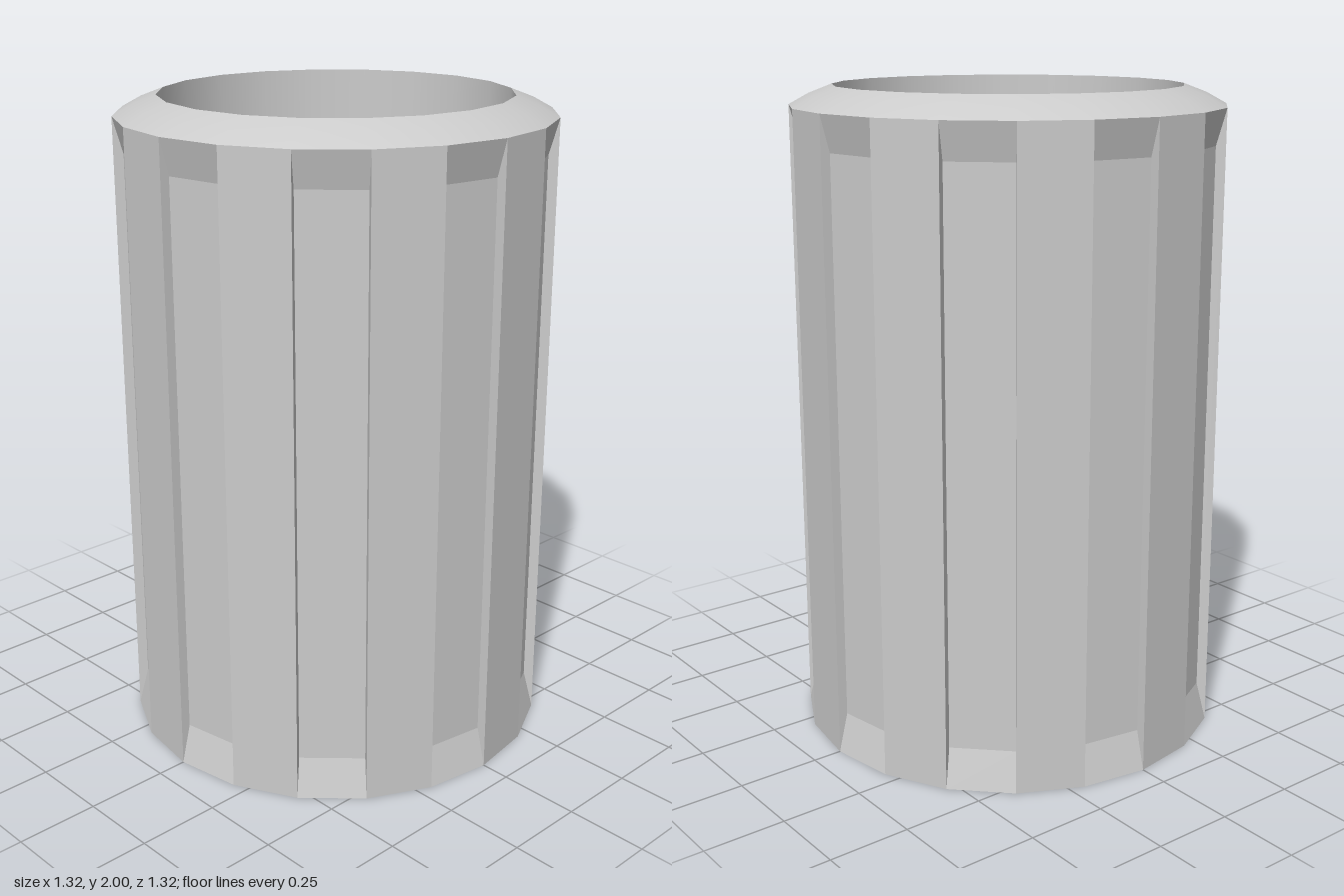
import * as THREE from 'three';

const SIDES = 20;
const OUTER = 0.66, INNER = 0.53, GROOVE = 0.63;
const SHOULDER = 1.94, TOP = 2, FLOOR = 0.13;

function add(group, name, geometry, flatShading = false) {
  const material = new THREE.MeshStandardMaterial({ color: 0xcccccc, flatShading });
  const mesh = new THREE.Mesh(geometry, material);
  mesh.name = name;
  group.add(mesh);
  return mesh;
}

// Faceted outer wall: every other side is a shallow groove with sloped ends
function outerWall() {
  const positions = [];
  const quad = (a, b, c, d) => {
    for (const p of [a, b, c, a, c, d]) positions.push(...p);
  };
  const step = (Math.PI * 2) / SIDES;
  const levels = [[OUTER, 0], [GROOVE, 0.12], [GROOVE, 1.83], [OUTER, SHOULDER]];
  const edge = (angle) => levels.map(([r, y]) => [r * Math.sin(angle), y, r * Math.cos(angle)]);

  for (let k = 0; k < SIDES; k++) {
    const l = edge(k * step), r = edge((k + 1) * step);
    if (k % 2) {
      quad(l[0], r[0], r[3], l[3]);
    } else {
      for (let i = 0; i < 3; i++) quad(l[i], r[i], r[i + 1], l[i + 1]);
      quad(l[0], l[1], l[2], l[3]);
      quad(r[3], r[2], r[1], r[0]);
    }
  }
  const geometry = new THREE.BufferGeometry();
  geometry.setAttribute('position', new THREE.Float32BufferAttribute(positions, 3));
  geometry.computeVertexNormals();
  return geometry;
}

const lathe = (points) =>
  new THREE.LatheGeometry(points.map(([r, y]) => new THREE.Vector2(r, y)), SIDES);

export function createModel() {
  const group = new THREE.Group();
  group.name = 'cup';

  add(group, 'outerWall', outerWall(), true);

  // Smooth rounded lip and the hollow inside
  add(group, 'rim', lathe([[OUTER, SHOULDER], [0.6, 1.973], [INNER, TOP]]));
  add(group, 'innerWall', lathe([[INNER, TOP], [INNER, FLOOR]]));

  // Inside floor and underside
  const floor = add(group, 'innerFloor', new THREE.CircleGeometry(INNER, SIDES));
  floor.rotation.x = -Math.PI / 2;
  floor.position.y = FLOOR;
  const base = add(group, 'base', new THREE.CircleGeometry(OUTER, SIDES));
  base.rotation.x = Math.PI / 2;

  return group;
}
